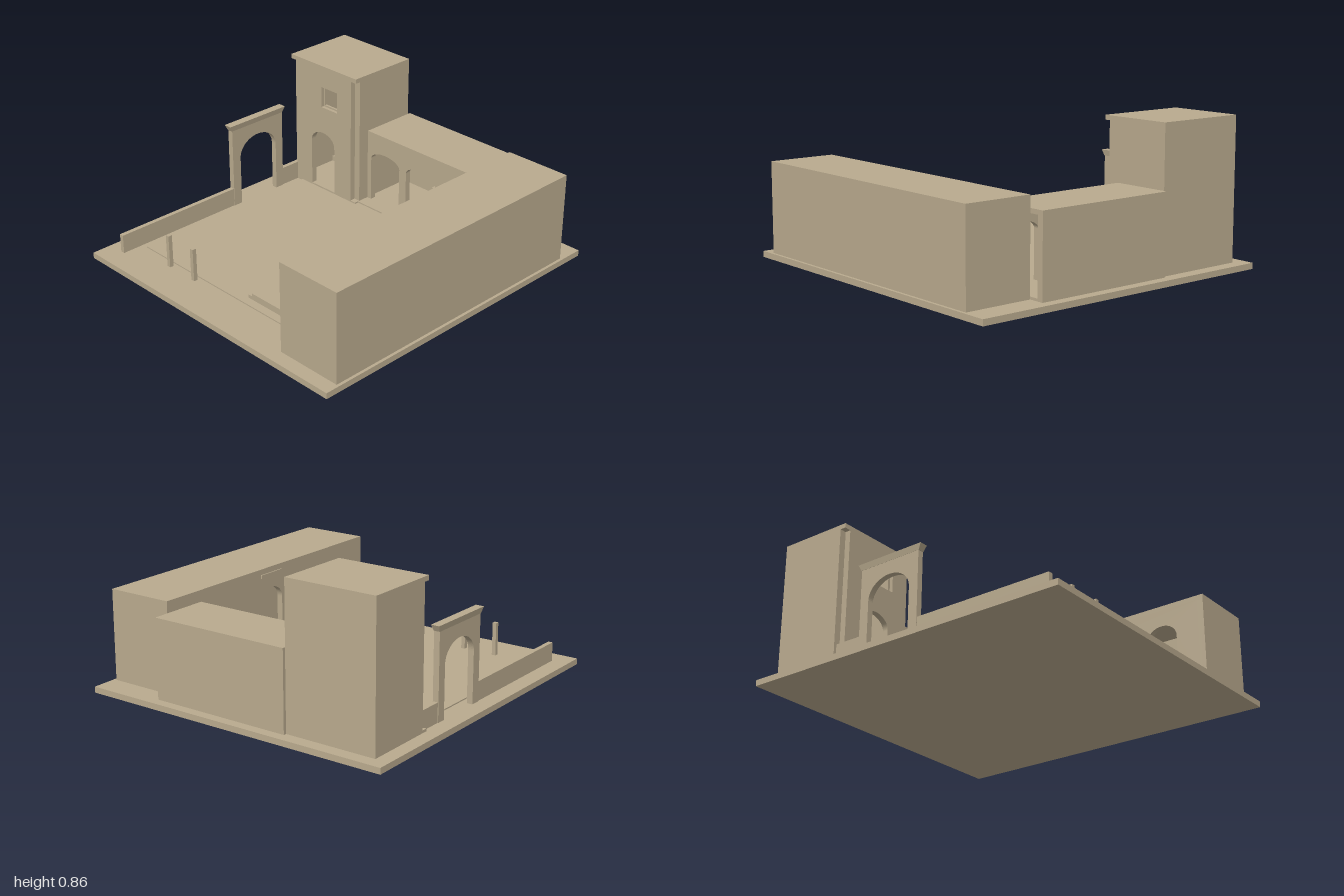
import * as THREE from 'three';

const sandstone = new THREE.MeshStandardMaterial({ color: 0xb9aa8e });
sandstone.name = 'sandstone';

function add(parent, name, geometry) {
  const mesh = new THREE.Mesh(geometry, sandstone);
  mesh.name = name;
  parent.add(mesh);
  return mesh;
}

// Box given by its limits on each axis
function block(parent, name, [x0, x1], [y0, y1], [z0, z1]) {
  const g = new THREE.BoxGeometry(x1 - x0, y1 - y0, z1 - z0);
  g.translate((x0 + x1) / 2, (y0 + y1) / 2, (z0 + z1) / 2);
  return add(parent, name, g);
}

function rect(Type, u0, u1, v0, v1) {
  const p = new Type();
  p.moveTo(u0, v0).lineTo(u1, v0).lineTo(u1, v1).lineTo(u0, v1).closePath();
  return p;
}

// Arched opening: straight jambs, elliptical head
function arch(u0, u1, bottom, spring, top) {
  const p = new THREE.Path();
  p.moveTo(u0, bottom).lineTo(u1, bottom).lineTo(u1, spring);
  p.absellipse((u0 + u1) / 2, spring, (u1 - u0) / 2, top - spring, 0, Math.PI, false, 0);
  p.closePath();
  return p;
}

// Wall with holes; along 'x' the thickness limits are z, along 'z' they are x
function wall(parent, name, axis, u, v, [t0, t1], holes = []) {
  const shape = rect(THREE.Shape, u[0], u[1], v[0], v[1]);
  shape.holes.push(...holes);
  const g = new THREE.ExtrudeGeometry(shape, { depth: t1 - t0, bevelEnabled: false, curveSegments: 20 });
  if (axis === 'x') g.translate(0, 0, t0);
  else g.rotateY(-Math.PI / 2).translate(t1, 0, 0);
  return add(parent, name, g);
}

function section(parent, name) {
  const g = new THREE.Group();
  g.name = name;
  parent.add(g);
  return g;
}

export function createModel() {
  const model = new THREE.Group();
  model.name = 'courtyardCompound';

  // Ground
  block(model, 'basePlate', [-0.957, 0.957], [0, 0.035], [-1, 1]);
  block(model, 'courtyardPaving', [-0.79, 0.535], [0.03, 0.042], [-0.5, 0.745]);

  // Tower: front wall stops short of the corners, leaving notches under the roof slab
  const tower = section(model, 'tower');
  block(tower, 'towerFloor', [-0.875, -0.325], [0.03, 0.05], [-0.925, -0.475]);
  block(tower, 'towerRoof', [-0.875, -0.325], [0.83, 0.857], [-0.925, -0.475]);
  block(tower, 'towerBackWall', [-0.875, -0.325], [0.05, 0.83], [-0.925, -0.89]);
  for (const x of [-0.875, -0.365])
    block(tower, 'towerSideWall', [x, x + 0.04], [0.05, 0.83], [-0.89, -0.51]);
  wall(tower, 'towerFrontWall', 'x', [-0.835, -0.365], [0.04, 0.83], [-0.51, -0.475], [
    arch(-0.7, -0.505, 0.052, 0.35, 0.422),
    rect(THREE.Path, -0.615, -0.48, 0.59, 0.72),
  ]);
  wall(tower, 'windowFrame', 'x', [-0.615, -0.48], [0.59, 0.72], [-0.508, -0.495],
    [rect(THREE.Path, -0.604, -0.495, 0.6, 0.71)]);

  // Staircase climbing along the back wall
  const stairs = section(tower, 'staircase');
  for (let i = 0; i < 17; i++) {
    const x = -0.835 + i * 0.0275;
    block(stairs, 'step', [x, x + 0.0275], [0.05, 0.082 + i * 0.032], [-0.89, -0.78]);
  }

  // Arcade
  const arcade = section(model, 'arcade');
  block(arcade, 'arcadeFloor', [-0.325, 0.535], [0.03, 0.05], [-0.943, -0.5]);
  block(arcade, 'arcadeRoof', [-0.325, 0.535], [0.47, 0.496], [-0.943, -0.58]);
  block(arcade, 'arcadeBackWall', [-0.325, 0.535], [0.05, 0.47], [-0.943, -0.907]);
  wall(arcade, 'arcadeFrontWall', 'x', [-0.325, 0.535], [0.04, 0.47], [-0.615, -0.58],
    [-0.295, -0.01, 0.277].map((x) => arch(x, x + 0.231, 0.05, 0.325, 0.377)));

  // Table under the arcade
  const table = section(arcade, 'table');
  block(table, 'tableTop', [0.01, 0.12], [0.148, 0.163], [-0.89, -0.79]);
  block(table, 'tableTray', [0.03, 0.102], [0.163, 0.183], [-0.87, -0.81]);
  for (const x of [0.025, 0.095])
    for (const z of [-0.875, -0.817])
      block(table, 'tableLeg', [x, x + 0.012], [0.05, 0.148], [z, z + 0.012]);

  // Long side wing with two doorways onto the courtyard
  const wing = section(model, 'wing');
  block(wing, 'wingFloor', [0.535, 0.94], [0.03, 0.05], [-0.85, 0.915]);
  block(wing, 'wingRoof', [0.535, 0.94], [0.535, 0.563], [-0.85, 0.915]);
  block(wing, 'wingOuterWall', [0.905, 0.94], [0.05, 0.535], [-0.85, 0.915]);
  for (const z of [-0.85, 0.88])
    block(wing, 'wingEndWall', [0.535, 0.905], [0.05, 0.535], [z, z + 0.035]);
  wall(wing, 'wingCourtyardWall', 'z', [-0.815, 0.88], [0.04, 0.535], [0.535, 0.57],
    [-0.065, 0.545].map((z) => arch(z, z + 0.193, 0.05, 0.36, 0.44)));
  block(wing, 'doorLedge', [0.528, 0.537], [0.508, 0.53], [-0.065, 0.125]);

  // Gateway with low garden walls either side
  const gate = section(model, 'gateway');
  wall(gate, 'gateArch', 'z', [-0.345, 0.05], [0.02, 0.535], [-0.862, -0.827],
    [arch(-0.29, -0.008, 0.035, 0.335, 0.45)]);
  const cap = new THREE.BoxGeometry(0.05, 0.035, 0.435);
  const p = cap.attributes.position;
  for (let i = 0; i < p.count; i++)
    if (p.getY(i) < 0) p.setXYZ(i, p.getX(i) * 0.72, p.getY(i), p.getZ(i) * 0.92);
  cap.computeVertexNormals();
  cap.translate(-0.845, 0.5455, -0.1475);
  add(gate, 'gateCap', cap);
  block(gate, 'gardenWall', [-0.858, -0.831], [0.03, 0.147], [-0.51, -0.345]);
  block(gate, 'gardenWall', [-0.858, -0.831], [0.03, 0.147], [0.05, 0.877]);

  // Entrance posts
  for (const x of [-0.545, -0.335])
    block(model, 'post', [x, x + 0.024], [0.03, 0.232], [0.766, 0.79]);

  // Low platform with a step
  block(model, 'platform', [0.065, 0.297], [0.035, 0.08], [0.375, 0.695]);
  block(model, 'platformStep', [0.033, 0.065], [0.035, 0.062], [0.375, 0.695]);

  return model;
}
